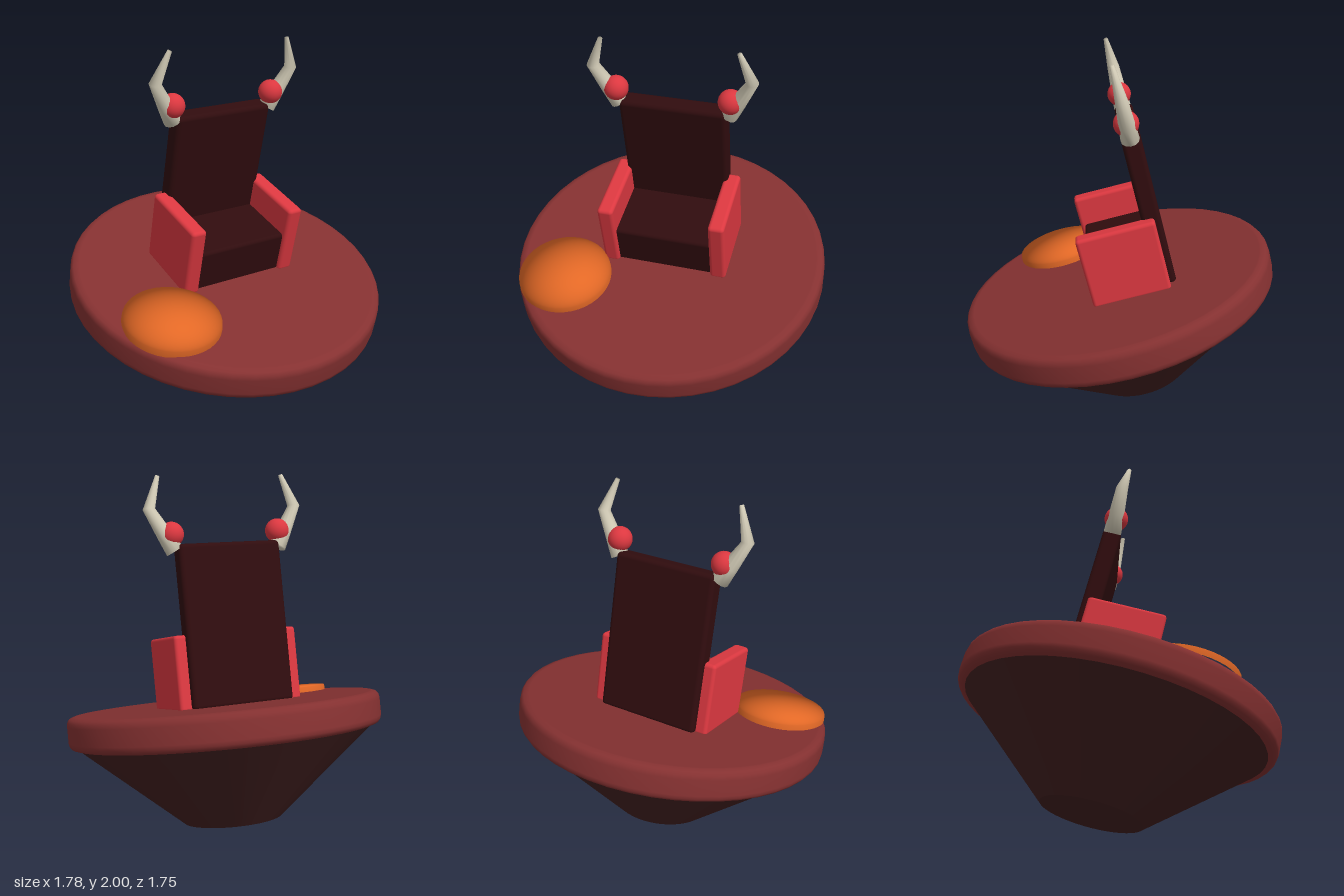
import * as THREE from 'three';
import { RoundedBoxGeometry } from 'three/addons/geometries/RoundedBoxGeometry.js';

const flat = (name, color) => {
  const m = new THREE.MeshStandardMaterial({ color });
  m.name = name;
  return m;
};

// Tapered horn: rings of vertices lofted along [x, y, z, radius] stations
function hornGeometry(stations, sides = 12) {
  const pts = stations.map(s => new THREE.Vector3(s[0], s[1], s[2]));
  const pos = [], idx = [];
  const up = new THREE.Vector3(0, 0, 1);
  stations.forEach((s, i) => {
    const dir = pts[Math.min(i + 1, pts.length - 1)].clone().sub(pts[Math.max(i - 1, 0)]).normalize();
    const u = new THREE.Vector3().crossVectors(dir, up).normalize();
    const v = new THREE.Vector3().crossVectors(dir, u);
    for (let k = 0; k < sides; k++) {
      const a = (k / sides) * Math.PI * 2;
      const p = pts[i].clone().addScaledVector(u, Math.cos(a) * s[3]).addScaledVector(v, Math.sin(a) * s[3]);
      pos.push(p.x, p.y, p.z);
    }
  });
  for (let i = 0; i < stations.length - 1; i++) {
    for (let k = 0; k < sides; k++) {
      const a = i * sides + k, b = i * sides + (k + 1) % sides;
      idx.push(a, b, a + sides, b, b + sides, a + sides);
    }
  }
  // End caps
  const last = (stations.length - 1) * sides;
  for (let k = 1; k < sides - 1; k++) {
    idx.push(0, k + 1, k, last, last + k, last + k + 1);
  }
  const g = new THREE.BufferGeometry();
  g.setAttribute('position', new THREE.Float32BufferAttribute(pos, 3));
  g.setIndex(idx);
  g.computeVertexNormals();
  return g;
}

export function createModel() {
  const model = new THREE.Group();
  model.name = 'hoverThrone';

  const maroon = flat('maroon', 0x853131);
  const darkBrown = flat('darkBrown', 0x432020);
  const upholstery = flat('darkUpholstery', 0x300c0e);
  const red = flat('red', 0xdc3840);
  const orange = flat('orange', 0xe26826);
  const bone = flat('bone', 0xd4cdb8);

  const add = (parent, name, geometry, material, x = 0, y = 0, z = 0) => {
    const mesh = new THREE.Mesh(geometry, material);
    mesh.name = name;
    mesh.position.set(x, y, z);
    parent.add(mesh);
    return mesh;
  };

  // Everything from the pedestal up leans forward together
  const tilted = new THREE.Group();
  tilted.name = 'tiltedBody';
  tilted.position.set(0, 0.07, -0.145);
  tilted.rotation.x = THREE.MathUtils.degToRad(14);
  model.add(tilted);

  // Conical pedestal
  add(tilted, 'pedestal', new THREE.CylinderGeometry(0.845, 0.28, 0.49, 48), darkBrown, 0, 0.245, 0);

  // Platform with rounded rim
  const rim = [
    [0, 0.485], [0.84, 0.485], [0.85, 0.485], [0.874, 0.493], [0.886, 0.51], [0.89, 0.53],
    [0.89, 0.62], [0.886, 0.642], [0.874, 0.658], [0.85, 0.666], [0.84, 0.666], [0, 0.666],
  ].map(p => new THREE.Vector2(p[0], p[1]));
  add(tilted, 'platform', new THREE.LatheGeometry(rim, 48), maroon);

  // Chair: seat, backrest, two armrests
  add(tilted, 'seat', new RoundedBoxGeometry(0.57, 0.25, 0.4, 3, 0.02), upholstery, 0, 0.77, -0.087);
  add(tilted, 'backrest', new RoundedBoxGeometry(0.59, 0.89, 0.105, 3, 0.025), upholstery, 0, 1.1, -0.283);
  for (const side of [1, -1]) {
    add(tilted, side > 0 ? 'leftArmrest' : 'rightArmrest',
      new RoundedBoxGeometry(0.09, 0.41, 0.435, 3, 0.02), red, side * 0.313, 0.857, -0.082);
  }

  // Low round pad: a hemisphere pressed flat, keeping its domed normals
  const pad = new THREE.SphereGeometry(0.265, 40, 20, 0, Math.PI * 2, 0, Math.PI / 2);
  const p = pad.attributes.position;
  for (let i = 0; i < p.count; i++) p.setY(i, Math.min(p.getY(i), 0.036 + p.getY(i) * 0.01));
  add(tilted, 'roundPad', pad, orange, -0.537, 0.66, 0.311);

  // Horns with red balls at the top corners of the backrest
  for (const side of [1, -1]) {
    const name = side > 0 ? 'left' : 'right';
    const stations = [
      [0.302, 1.605, -0.05, 0.05],
      [0.35, 1.69, -0.03, 0.044],
      [0.426, 1.825, 0, 0.034],
      [0.362, 1.995, 0.045, 0.012],
    ].map(s => [s[0] * side, s[1], s[2], s[3]]);
    add(model, name + 'Horn', hornGeometry(stations), bone);
    add(model, name + 'Ball', new THREE.SphereGeometry(0.067, 32, 20), red, side * 0.312, 1.692, -0.028);
  }

  return model;
}
